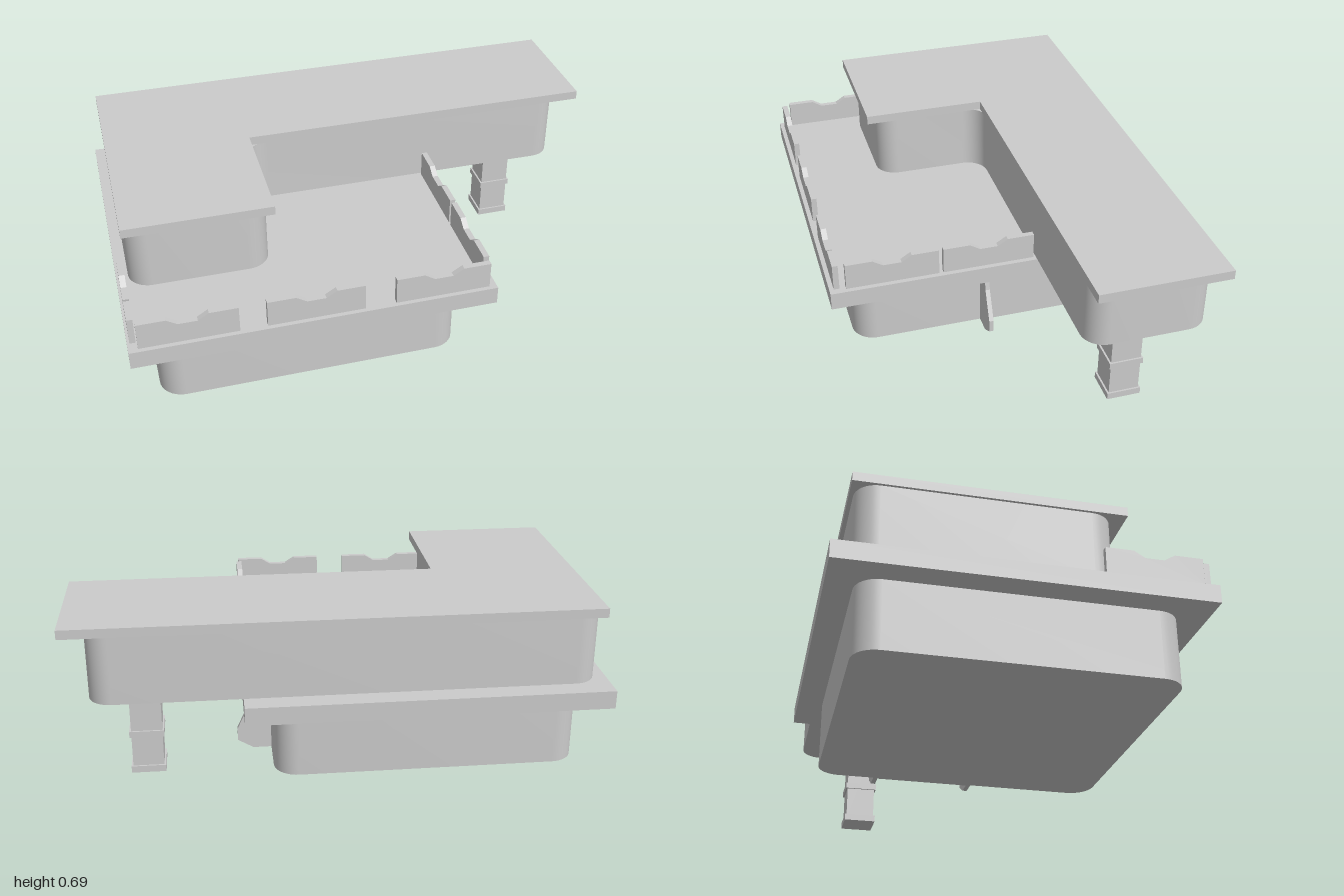
import * as THREE from 'three';
import { toCreasedNormals } from 'three/addons/utils/BufferGeometryUtils.js';

const material = new THREE.MeshStandardMaterial({ color: 0xcccccc });

function add(parent, name, geometry) {
  const mesh = new THREE.Mesh(geometry, material);
  mesh.name = name;
  parent.add(mesh);
  return mesh;
}

// Box given by its min and max on each axis
function box(parent, name, [x0, x1], [y0, y1], [z0, z1]) {
  const mesh = add(parent, name, new THREE.BoxGeometry(x1 - x0, y1 - y0, z1 - z0));
  mesh.position.set((x0 + x1) / 2, (y0 + y1) / 2, (z0 + z1) / 2);
  return mesh;
}

// Plan outline of [x, z] corners, with optional rounded corners, raised from y0 to y1
function prism(parent, name, plan, y0, y1, radius = 0) {
  const points = plan.map(([x, z]) => new THREE.Vector2(x, -z));
  const shape = new THREE.Shape();
  points.forEach((p, i) => {
    const toward = (q) => p.clone().add(q.clone().sub(p).setLength(radius));
    const a = toward(points[(i + points.length - 1) % points.length]);
    const b = toward(points[(i + 1) % points.length]);
    if (i === 0) shape.moveTo(a.x, a.y);
    else shape.lineTo(a.x, a.y);
    if (radius > 0) {
      const k = 0.5523;
      const c1 = a.clone().lerp(p, k), c2 = b.clone().lerp(p, k);
      shape.bezierCurveTo(c1.x, c1.y, c2.x, c2.y, b.x, b.y);
    }
  });
  shape.closePath();
  const geometry = new THREE.ExtrudeGeometry(shape, { depth: y1 - y0, bevelEnabled: false, curveSegments: 10 });
  geometry.rotateX(-Math.PI / 2).translate(0, y0, 0);
  return add(parent, name, toCreasedNormals(geometry, 0.6));
}

// Flat side profile of [x, y] points, given a thickness centred on z = 0
function plate(points, thickness) {
  const shape = new THREE.Shape(points.map(([x, y]) => new THREE.Vector2(x, y)));
  return new THREE.ExtrudeGeometry(shape, { depth: thickness, bevelEnabled: false }).translate(0, 0, -thickness / 2);
}

const rect = (x0, x1, z0, z1) => [[x0, z1], [x1, z1], [x1, z0], [x0, z0]];
// L-shaped plan: a full-width rear wing and a left wing reaching forward
const ell = (x0, xIn, x1, zBack, zIn, zFront) =>
  [[x0, zFront], [xIn, zFront], [xIn, zIn], [x1, zIn], [x1, zBack], [x0, zBack]];

export function createModel() {
  const model = new THREE.Group();
  model.name = 'house';

  // Storeys, terrace slab and roof
  prism(model, 'groundFloor', rect(-0.9, 0.25, -0.58, 0.58), 0.05, 0.315, 0.09);
  prism(model, 'terraceSlab', rect(-1, 0.36, -0.68, 0.68), 0.315, 0.385);
  prism(model, 'upperFloor', ell(-0.955, -0.42, 0.915, -0.6, -0.13, 0.325), 0.385, 0.65, 0.085);
  prism(model, 'roof', ell(-0.965, -0.405, 1, -0.615, -0.12, 0.37), 0.65, 0.685);

  // Notched parapet panels around the terrace
  const parapets = new THREE.Group();
  parapets.name = 'parapets';
  model.add(parapets);
  const panel = plate([
    [-0.18, 0], [0.18, 0], [0.18, 0.105], [0.075, 0.105], [0.035, 0.08],
    [-0.035, 0.08], [-0.075, 0.105], [-0.18, 0.105],
  ], 0.022);
  const quarter = Math.PI / 2;
  const spots = [
    [-0.785, 0.652, 0], [-0.325, 0.652, 0], [0.152, 0.652, 0],
    [0.33, 0.437, quarter], [0.33, 0.06, quarter], [-0.98, 0.448, quarter],
  ];
  for (const [x, z, turn] of spots) {
    const mesh = add(parapets, 'parapetPanel', panel);
    mesh.position.set(x, 0.385, z);
    mesh.rotation.y = turn;
  }

  // Doorway: two flared side walls with a door panel between them
  const doorway = new THREE.Group();
  doorway.name = 'doorway';
  model.add(doorway);
  const fin = plate([
    [0.24, 0.05], [0.32, 0.05], [0.38, 0.085], [0.38, 0.135],
    [0.325, 0.25], [0.315, 0.315], [0.24, 0.315],
  ], 0.018);
  for (const z of [0.06, -0.335]) add(doorway, 'flaredWall', fin).position.z = z;
  box(doorway, 'doorPanel', [0.24, 0.257], [0.05, 0.3], [-0.326, 0.051]);

  // Pillar under the overhanging wing
  const pillar = new THREE.Group();
  pillar.name = 'pillar';
  model.add(pillar);
  box(pillar, 'pillarShaft', [0.667, 0.785], [0.01, 0.39], [-0.402, -0.283]);
  box(pillar, 'pillarBase', [0.66, 0.792], [0, 0.027], [-0.409, -0.276]);
  box(pillar, 'pillarBand', [0.66, 0.792], [0.15, 0.175], [-0.409, -0.276]);

  return model;
}
